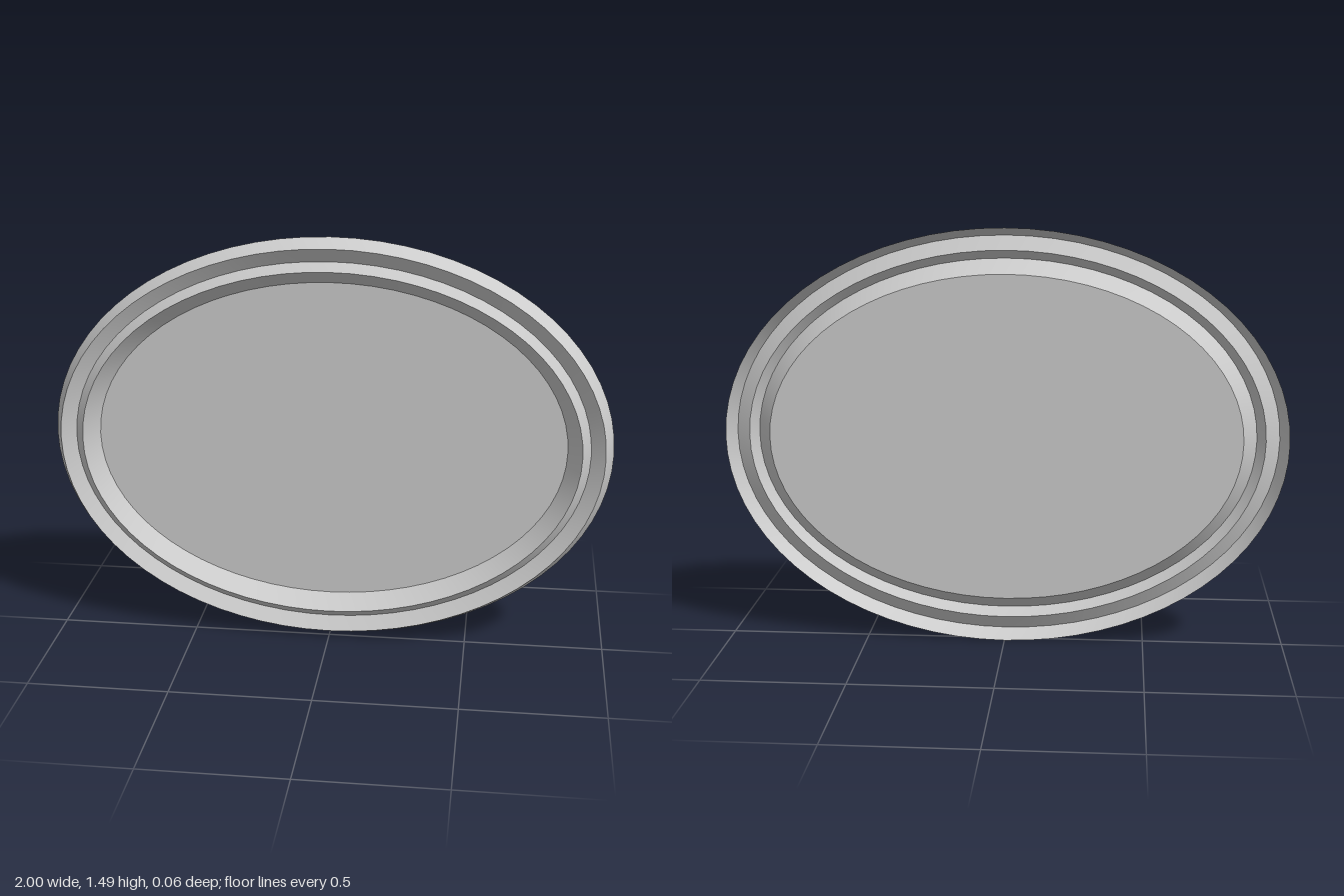
import * as THREE from 'three';

const SEGMENTS = 72;
const INSET = 0.254; // vertical radius is this much less than the horizontal one
const CENTER_Y = 1 - INSET;

// Point on the oval of horizontal radius r
function ovalPoint(r, i) {
  const a = (i / SEGMENTS) * Math.PI * 2;
  return [r * Math.cos(a), (r - INSET) * Math.sin(a)];
}

// Sloped oval band between two profile points [radius, z], outer to inner
function band([r0, z0], [r1, z1]) {
  const positions = [];
  const index = [];
  for (let i = 0; i < SEGMENTS; i++) {
    positions.push(...ovalPoint(r0, i), z0, ...ovalPoint(r1, i), z1);
    const a = 2 * i;
    const b = 2 * ((i + 1) % SEGMENTS);
    index.push(a, b, a + 1, b, b + 1, a + 1);
  }
  const geometry = new THREE.BufferGeometry();
  geometry.setAttribute('position', new THREE.Float32BufferAttribute(positions, 3));
  geometry.setIndex(index);
  geometry.computeVertexNormals();
  return geometry;
}

export function createModel() {
  const group = new THREE.Group();
  group.name = 'ovalFrame';
  const material = new THREE.MeshStandardMaterial({ color: 0xcccccc, side: THREE.DoubleSide });

  const add = (name, geometry) => {
    const mesh = new THREE.Mesh(geometry, material);
    mesh.name = name;
    mesh.position.y = CENTER_Y;
    group.add(mesh);
    return mesh;
  };

  // Folded sheet moulding: outer edge, rim crest, groove, inner crest, panel edge
  const profile = [[1, -0.03], [0.97, 0.03], [0.92, 0], [0.89, 0.03], [0.84, -0.03]];
  const names = ['outerRim', 'rimSlope', 'grooveWall', 'innerBevel'];
  names.forEach((name, i) => add(name, band(profile[i], profile[i + 1])));

  // Flat panel closing the oval
  const [panelRadius, panelZ] = profile[profile.length - 1];
  const outline = [];
  for (let i = 0; i < SEGMENTS; i++) outline.push(new THREE.Vector2(...ovalPoint(panelRadius, i)));
  add('panel', new THREE.ShapeGeometry(new THREE.Shape(outline))).position.z = panelZ;

  return group;
}
